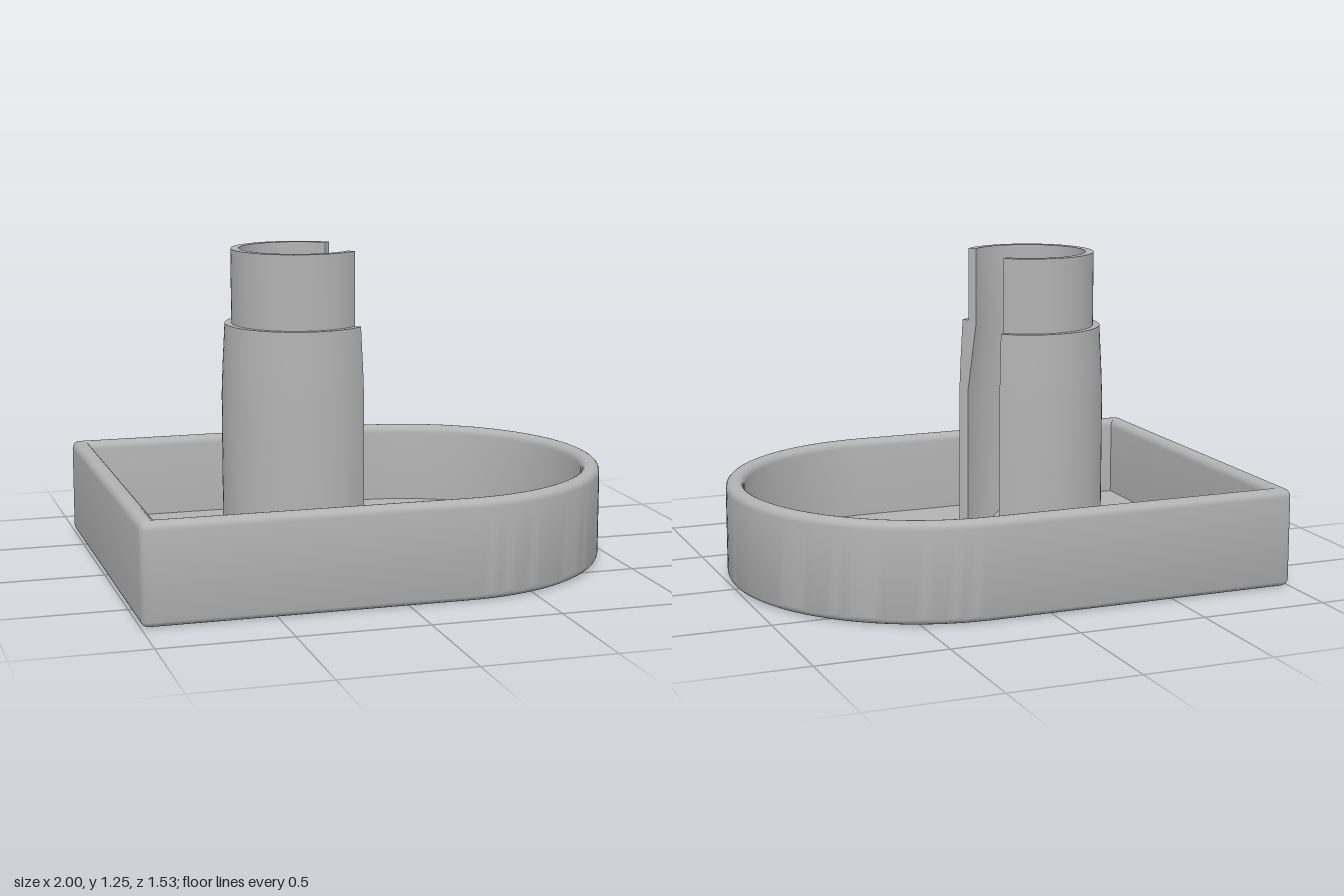
import * as THREE from 'three';
import { toCreasedNormals } from 'three/addons/utils/BufferGeometryUtils.js';

const HALF = 0.765, ARC_X = 0.235, CORNER = 0.03; // tray outline
const HEIGHT = 0.385, WALL = 0.07, FLOOR = 0.06, FILLET = 0.03;
const TUBE_X = -0.222;

// D-shaped outline, inset by d, counterclockwise seen from above
function outline(d) {
  const pts = [];
  const arc = (cx, cz, r, from, to, n) => {
    for (let i = 0; i <= n; i++) {
      const a = from + (to - from) * i / n;
      pts.push([cx + r * Math.cos(a), cz - r * Math.sin(a)]);
    }
  };
  const r = Math.max(CORNER - d, 0), cx = -1 + d + r, cz = HALF - d - r;
  arc(cx, cz, r, Math.PI, Math.PI * 1.5, 5);
  arc(ARC_X, 0, HALF - d, -Math.PI / 2, Math.PI / 2, 64);
  arc(cx, -cz, r, Math.PI / 2, Math.PI, 5);
  return pts;
}

// Joins equal-length rings of [x, y, z] points into a surface
function skin(rings, closed) {
  const n = rings[0].length, index = [];
  for (let j = 0; j < rings.length - 1; j++) {
    for (let i = 0; i < (closed ? n : n - 1); i++) {
      const k = (i + 1) % n;
      const a = j * n + i, b = j * n + k, c = a + n, d = b + n;
      index.push(a, b, d, a, d, c);
    }
  }
  const g = new THREE.BufferGeometry();
  g.setAttribute('position', new THREE.Float32BufferAttribute(rings.flat(2), 3));
  g.setIndex(index);
  return toCreasedNormals(g, 0.6);
}

function trayGeometry() {
  // wall section as [inset, height], from the underside over the rim to the floor
  const section = [];
  const round = (cd, cy, from, to) => {
    for (let i = 0; i <= 5; i++) {
      const a = from + (to - from) * i / 5;
      section.push([cd - FILLET * Math.cos(a), cy + FILLET * Math.sin(a)]);
    }
  };
  round(FILLET, FILLET, -Math.PI / 2, 0);
  round(FILLET, HEIGHT - FILLET, 0, Math.PI / 2);
  round(WALL - FILLET, HEIGHT - FILLET, Math.PI / 2, Math.PI);
  section.push([WALL, FLOOR]);
  const rings = section.map(([d, y]) => outline(d).map(([x, z]) => [x, y, z]));
  // close underside and floor towards the middle
  const centre = y => rings[0].map(() => [0, y, 0]);
  return skin([centre(0), ...rings, centre(FLOOR)], true);
}

export function createModel() {
  const model = new THREE.Group();
  const grey = new THREE.MeshStandardMaterial({ color: 0xb2b2b2, side: THREE.DoubleSide });
  grey.name = 'grey';
  const add = (name, geometry, parent = model) => {
    const mesh = new THREE.Mesh(geometry, grey);
    mesh.name = name;
    parent.add(mesh);
    return mesh;
  };

  add('tray', trayGeometry());

  // Slotted stepped tube, open towards +x
  const tube = new THREE.Group();
  tube.name = 'slottedTube';
  tube.position.x = TUBE_X;
  model.add(tube);
  const profile = [
    [0.297, 0.04], [0.297, 0.68], [0.292, 0.8], [0.283, 0.96], [0.257, 0.96], [0.257, 1.25],
    [0.225, 1.25], [0.225, 0.94], [0.26, 0.67], [0.26, 0.04],
  ].map(p => new THREE.Vector2(...p));
  const start = Math.PI * 0.75, sweep = Math.PI * 1.5;
  add('tubeWall', toCreasedNormals(
    new THREE.LatheGeometry([...profile, profile[0]], 60, start, sweep), 0.4), tube);
  for (const phi of [start, start + sweep]) {
    add('slotEdge', new THREE.ShapeGeometry(new THREE.Shape(profile)), tube)
      .rotation.y = phi - Math.PI / 2;
  }

  // Curved chute inside the tube, dropping from the rear wall to the floor
  const rows = [], R = 0.262, reach = 0.17;
  for (let j = 0; j <= 24; j++) {
    const t = j / 24, x = -R + (R + reach) * t;
    const w = Math.sqrt(Math.max(R * R - x * x, 0));
    const y = FLOOR + 0.002 + (0.67 - FLOOR) * (1 - t) ** 2;
    rows.push([[x, y, -w], [x, y, w]].reverse());
  }
  add('chute', skin(rows.map(r => r.reverse()).reverse(), false), tube);

  return model;
}
